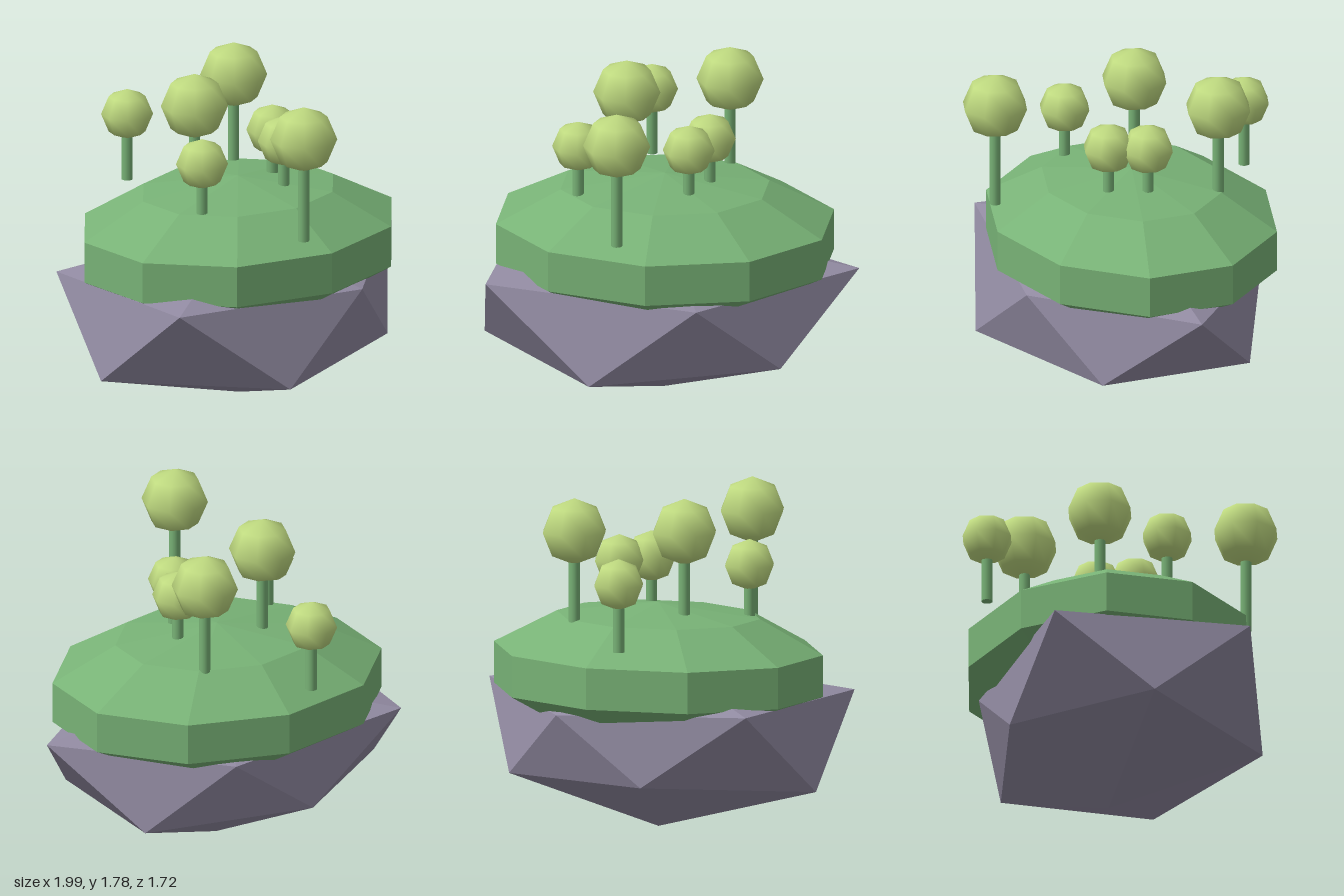
import * as THREE from 'three';

const grassMat = new THREE.MeshStandardMaterial({ color: 0x78b276 });
grassMat.name = 'grassGreen';
const leafMat = new THREE.MeshStandardMaterial({ color: 0xbfda80 });
leafMat.name = 'leafGreen';
const rockMat = new THREE.MeshStandardMaterial({ color: 0x928ba2 });
rockMat.name = 'rockGrey';

// Separate the faces so each one is shaded flat
function faceted(geometry) {
  const flat = geometry.index ? geometry.toNonIndexed() : geometry;
  flat.computeVertexNormals();
  return flat;
}

function addMesh(parent, name, geometry, material, x = 0, y = 0, z = 0) {
  const mesh = new THREE.Mesh(geometry, material);
  mesh.name = name;
  mesh.position.set(x, y, z);
  parent.add(mesh);
  return mesh;
}

// Irregular twenty-sided boulder: two poles and two staggered rings of five
function rockGeometry() {
  const bottom = [-0.04, 0, -0.02], top = [-0.04, 0.9, -0.02];
  const low = [[-1, 0.26, -0.02], [-0.34, 0.26, 0.74], [0.63, 0.285, 0.4], [0.63, 0.285, -0.43], [-0.28, 0.305, -0.62]];
  const high = [[-0.92, 0.725, 0.52], [0.22, 0.68, 0.67], [0.99, 0.715, -0.02], [0.21, 0.66, -0.66], [-0.87, 0.715, -0.53]];
  const points = [];
  for (let i = 0; i < 5; i++) {
    const j = (i + 1) % 5;
    points.push(bottom, low[j], low[i]);
    points.push(low[i], low[j], high[i]);
    points.push(high[i], low[j], high[j]);
    points.push(top, high[i], high[j]);
  }
  const geometry = new THREE.BufferGeometry();
  geometry.setAttribute('position', new THREE.Float32BufferAttribute(points.flat(), 3));
  return faceted(geometry);
}

// Tree with a thin trunk and a round crown
function tree(x, z, crownY, radius) {
  const group = new THREE.Group();
  group.name = 'tree';
  group.position.set(x, 0, z);
  const base = 1.04, height = crownY - base;
  addMesh(group, 'trunk', new THREE.CylinderGeometry(0.03, 0.03, height, 12), grassMat, 0, base + height / 2, 0);
  const crown = addMesh(group, 'crown', new THREE.SphereGeometry(radius, 8, 4), leafMat, 0, crownY, 0);
  crown.rotation.y = 0.1;
  return group;
}

export function createModel() {
  const model = new THREE.Group();
  model.name = 'floatingIsland';

  addMesh(model, 'rock', rockGeometry(), rockMat);

  // Flattened ten-sided mound of grass
  const mound = new THREE.SphereGeometry(1, 10, 5).rotateY(Math.PI / 2).scale(0.957, 0.357, 0.796);
  addMesh(model, 'grassMound', faceted(mound), grassMat, -0.043, 0.838, -0.025);

  // Tall trees
  for (const [x, z] of [[-0.26, -0.125], [0.25, -0.4], [-0.2, 0.685]]) {
    model.add(tree(x, z, 1.6, 0.177));
  }
  // Small trees
  for (const [x, z] of [[-0.21, -0.725], [0.195, -0.025], [0.11, 0.165], [-0.475, 0.185]]) {
    model.add(tree(x, z, 1.4, 0.137));
  }
  return model;
}
